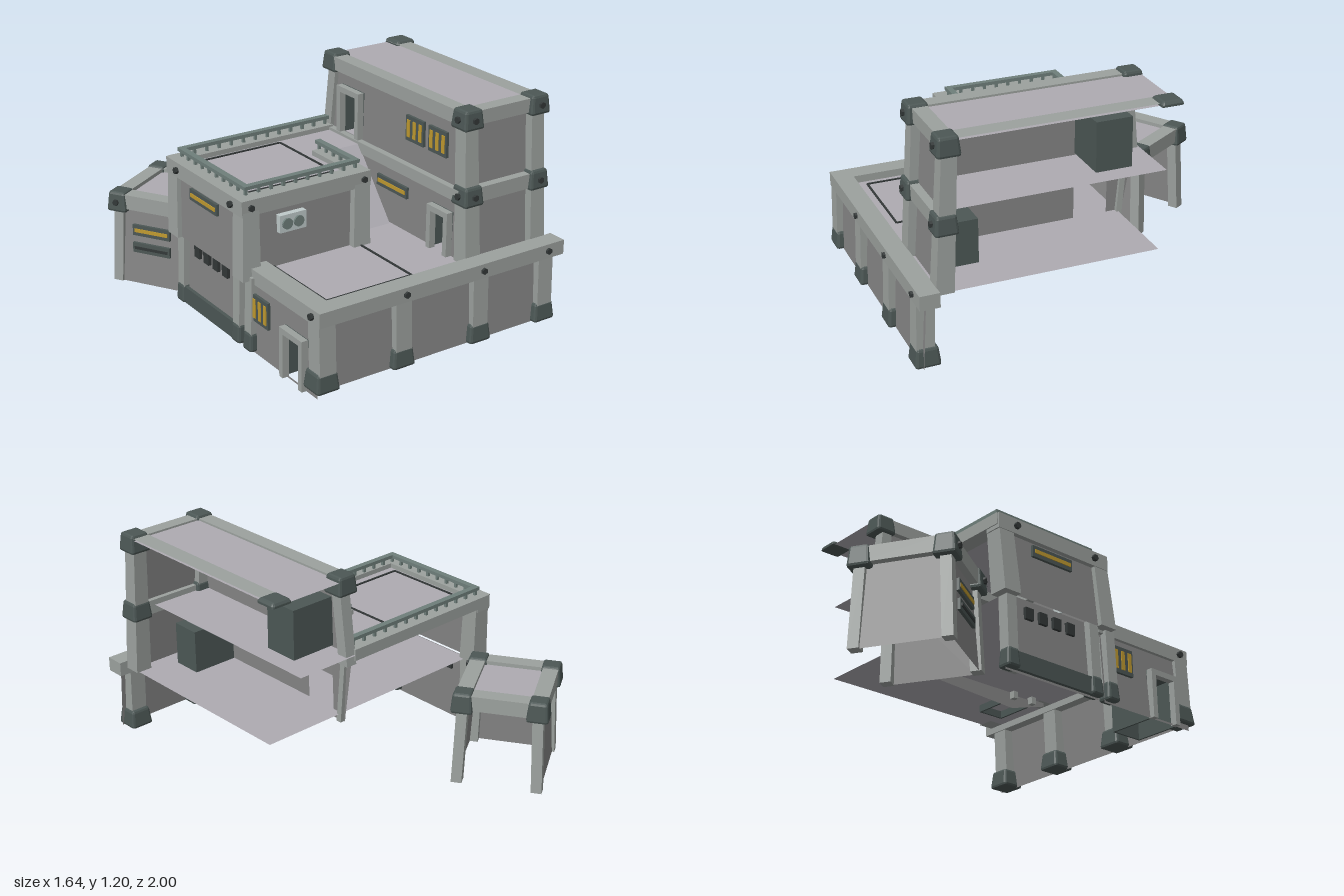
import * as THREE from 'three';
import { RoundedBoxGeometry } from 'three/addons/geometries/RoundedBoxGeometry.js';

const mat = (color) => new THREE.MeshStandardMaterial({ color, flatShading: true, side: THREE.DoubleSide });
const M = {
  wall: mat(0x858585), trim: mat(0x9ca19e), cap: mat(0x4c5755), roof: mat(0xaeabb2),
  dark: mat(0x333838), rail: mat(0x6f7f7b), lamp: mat(0xc09a30), vent: mat(0xbfcaca),
};

function add(parent, name, geo, material) {
  const mesh = new THREE.Mesh(geo, material);
  mesh.name = name;
  parent.add(mesh);
  return mesh;
}

// Box given by its limits on each axis
function box(parent, name, m, x0, x1, y0, y1, z0, z1) {
  const b = add(parent, name, new THREE.BoxGeometry(x1 - x0, y1 - y0, z1 - z0), m);
  b.position.set((x0 + x1) / 2, (y0 + y1) / 2, (z0 + z1) / 2);
  return b;
}

// Leaning square post from a low point to a high point
function post(parent, name, m, [x0, y0, z0], [x1, y1, z1], w0, w1 = w0) {
  const g = new THREE.BoxGeometry(1, 1, 1), p = g.attributes.position;
  for (let i = 0; i < p.count; i++) {
    const up = p.getY(i) > 0, w = up ? w1 : w0;
    p.setXYZ(i, p.getX(i) * w + (up ? x1 : x0), up ? y1 : y0, p.getZ(i) * w + (up ? z1 : z0));
  }
  g.computeVertexNormals();
  return add(parent, name, g, m);
}

// Chamfered corner block, narrower at the top, with bolts on front and left
function cap(parent, name, x, y, z, w = 0.12, h = 0.1, bolts = true) {
  const grp = new THREE.Group();
  grp.name = name;
  grp.position.set(x, y, z);
  const g = new RoundedBoxGeometry(w, h, w, 1, 0.014), p = g.attributes.position;
  for (let i = 0; i < p.count; i++) {
    const s = 1 - 0.18 * (p.getY(i) / h + 0.5);
    p.setX(i, p.getX(i) * s);
    p.setZ(i, p.getZ(i) * s);
  }
  add(grp, 'block', g, M.cap);
  if (bolts) {
    bolt(grp, 0, 0, w / 2 - 0.005, false);
    bolt(grp, -w / 2 + 0.005, 0, 0, true);
  }
  parent.add(grp);
}

function bolt(parent, x, y, z, sideways) {
  const b = add(parent, 'bolt', new THREE.CylinderGeometry(0.017, 0.017, 0.025, 6), M.dark);
  b.position.set(x, y, z);
  if (sideways) b.rotation.z = Math.PI / 2; else b.rotation.x = Math.PI / 2;
}

const rect = (a, b, c, d) => [[a, c], [b, c], [b, d], [a, d]];

// Flat sheet with openings; place(u, v) gives the point in space
function sheet(parent, name, m, pts, place, holes = []) {
  const toV = (l) => l.map(([a, b]) => new THREE.Vector2(a, b));
  const shape = new THREE.Shape(toV(pts));
  holes.forEach((h) => shape.holes.push(new THREE.Path(toV(h))));
  const g = new THREE.ShapeGeometry(shape), p = g.attributes.position;
  for (let i = 0; i < p.count; i++) p.setXYZ(i, ...place(p.getX(i), p.getY(i)));
  g.computeVertexNormals();
  return add(parent, name, g, m);
}
const level = (y) => (x, nz) => [x, y, -nz];

// Thin square outline laid on a roof
function outline(parent, name, x0, x1, y, z0, z1) {
  const t = 0.01;
  for (const z of [z0, z1]) box(parent, name, M.dark, x0, x1, y, y + 0.006, z - t / 2, z + t / 2);
  for (const x of [x0, x1]) box(parent, name, M.dark, x - t / 2, x + t / 2, y, y + 0.006, z0, z1);
}

// Framed window standing just outside a left-facing wall
function sideWindow(parent, x, y0, y1, z0, z1, bars, pane = M.lamp) {
  box(parent, 'windowFrame', M.cap, x - 0.02, x - 0.005, y0, y1, z0, z1);
  const s = (z1 - z0) / bars;
  for (let i = 0; i < bars; i++)
    box(parent, 'windowPane', pane, x - 0.024, x - 0.02, y0 + 0.02, y1 - 0.02, z0 + i * s + 0.012, z0 + (i + 1) * s - 0.012);
}

// Door recess set into a left wall, with an outside frame
function doorway(parent, x, y0, y1, z0, z1) {
  const d = 0.25;
  box(parent, 'doorRecessBack', M.cap, x + d - 0.01, x + d, y0, y1, z0, z1);
  box(parent, 'doorRecessTop', M.cap, x, x + d, y1 - 0.01, y1, z0, z1);
  for (const z of [z0, z1 - 0.01]) box(parent, 'doorRecessSide', M.cap, x, x + d, y0, y1, z, z + 0.01);
  for (const z of [z0, z1 - 0.03]) box(parent, 'doorFrame', M.trim, x - 0.035, x, y0, y1, z, z + 0.03);
  box(parent, 'doorLintel', M.trim, x - 0.035, x, y1 - 0.03, y1, z0, z1);
}

// Handrail with short uprights between two points at one height
function railing(parent, xa, za, xb, zb) {
  const n = Math.round(Math.hypot(xb - xa, zb - za) / 0.07), r = 0.016;
  box(parent, 'handrail', M.rail, Math.min(xa, xb) - r, Math.max(xa, xb) + r, 0.828, 0.846, Math.min(za, zb) - r, Math.max(za, zb) + r);
  for (let i = 0; i <= n; i++) {
    const x = xa + (xb - xa) * i / n, z = za + (zb - za) * i / n;
    box(parent, 'railUpright', M.rail, x - 0.007, x + 0.007, 0.795, 0.83, z - 0.007, z + 0.007);
  }
}

function lowerBlock(g) {
  sheet(g, 'lowerRoof', M.roof, rect(-0.62, 0.75, -0.96, 0.25), level(0.42));
  sheet(g, 'lowerFrontWall', M.wall, rect(-0.63, 0.77, 0.05, 0.42), (x, y) => [x, y, 0.96 - 0.06 * y]);
  const leanX = (z, y) => [-0.645 + 0.05 * y, y, z];
  sheet(g, 'lowerLeftFrontWall', M.wall, rect(0.36, 0.96, 0.02, 0.42), leanX, [rect(0.69, 0.86, 0.03, 0.27)]);
  sheet(g, 'lowerLeftBackWall', M.wall, rect(-0.28, 0.32, 0.02, 0.42), leanX);
  doorway(g, -0.635, 0.02, 0.28, 0.68, 0.87);
  sideWindow(g, -0.635, 0.2, 0.34, 0.42, 0.56, 3);
  for (const z of [0.15, 0.06, -0.03, -0.12]) box(g, 'wallHook', M.dark, -0.645, -0.615, 0.315, 0.375, z - 0.025, z + 0.025);
  box(g, 'frontTopBeam', M.trim, -0.64, 0.81, 0.385, 0.46, 0.88, 0.98);
  box(g, 'leftTopBeam', M.trim, -0.645, -0.54, 0.385, 0.46, 0.34, 0.98);
  box(g, 'leftSkirting', M.cap, -0.665, -0.646, 0.03, 0.12, -0.27, 0.3);
  for (const x of [-0.6, -0.17, 0.29, 0.7]) {
    post(g, 'frontPost', M.trim, [x, 0.1, 0.94], [x, 0.4, 0.93], 0.09);
    cap(g, 'frontFoot', x, 0.1, 0.93, 0.13, 0.1, false);
    if (x !== -0.6) bolt(g, x + 0.01, 0.425, 0.98, false);
  }
  for (const z of [0.4, 0.29, -0.25]) {
    post(g, 'leftPost', M.trim, [-0.64, 0.08, z], [-0.63, 0.42, z], 0.06);
    cap(g, 'leftFoot', -0.64, 0.08, z, 0.08, 0.1, false);
  }
  bolt(g, -0.65, 0.425, 0.92, true);
  outline(g, 'roofPanel', -0.5, -0.01, 0.42, 0.36, 0.82);
}

function middleBlock(g) {
  // Roof deck reaches behind the ramp to the tower
  sheet(g, 'middleRoof', M.roof, [[-0.63, -0.34], [0.03, -0.34], [0.03, 0], [0.28, 0], [0.28, 0.32], [-0.63, 0.32]], level(0.775));
  sheet(g, 'middleFrontWall', M.wall, rect(-0.65, 0.03, 0.4, 0.78), (x, y) => [x, y, 0.4 - 0.07 * y]);
  sheet(g, 'middleLeftWall', M.wall, rect(-0.31, 0.35, 0.4, 0.78), (z, y) => [-0.69 + 0.05 * y, y, z]);
  sheet(g, 'middleRightWall', M.wall, rect(0, 0.35, 0.42, 0.78), (z, y) => [0.04, y, z]);
  sheet(g, 'ramp', M.roof, rect(0.06, 0.26, 0, 1), (x, t) => [x, 0.43 + 0.345 * t, 0.28 - 0.28 * t]);
  box(g, 'frontBeam', M.trim, -0.67, 0.06, 0.72, 0.8, 0.3, 0.385);
  box(g, 'leftBeam', M.trim, -0.68, -0.59, 0.72, 0.8, -0.34, 0.385);
  box(g, 'rightBeam', M.trim, -0.03, 0.06, 0.72, 0.8, 0, 0.385);
  box(g, 'backBeam', M.trim, -0.67, 0.28, 0.74, 0.8, -0.345, -0.26);
  for (const [x, z] of [[-0.63, 0.34], [0.01, 0.34], [-0.63, -0.29]])
    post(g, 'middlePost', M.trim, [x - 0.015, 0.4, z + 0.02], [x, 0.74, z], 0.1, 0.09);
  for (const x of [-0.63, 0.02]) bolt(g, x, 0.76, 0.385, false);
  for (const z of [-0.23, 0.29]) bolt(g, -0.685, 0.76, z, true);
  railing(g, -0.615, -0.295, 0.25, -0.295);
  railing(g, -0.615, 0.315, 0.015, 0.315);
  railing(g, -0.615, -0.295, -0.615, 0.315);
  railing(g, 0.015, 0, 0.015, 0.315);
  outline(g, 'roofHatch', -0.57, -0.07, 0.775, -0.235, 0.25);
  sideWindow(g, -0.655, 0.64, 0.7, -0.12, 0.14, 1);
  // Twin round vent on the front wall
  box(g, 'ventPlate', M.vent, -0.47, -0.32, 0.59, 0.68, 0.35, 0.385);
  for (const x of [-0.43, -0.365]) {
    const v = add(g, 'ventFan', new THREE.CylinderGeometry(0.028, 0.028, 0.02, 16), M.rail);
    v.rotation.x = Math.PI / 2;
    v.position.set(x, 0.635, 0.385);
  }
}

function tower(g) {
  sheet(g, 'towerRoof', M.roof, rect(0.29, 0.76, -0.82, 0.33), level(1.17));
  sheet(g, 'towerFloor', M.roof, rect(0.28, 0.63, -0.82, 0.345), level(0.77));
  sheet(g, 'towerFrontWall', M.wall, rect(0.3, 0.74, 0.42, 1.16), (x, y) => [x, y, 0.88 - 0.08 * y]);
  sheet(g, 'towerLeftWall', M.wall,
    [[-0.27, 0.38], [0.6, 0.33], [0.84, 0.4], [0.8, 1.16], [-0.26, 1.16], [-0.33, 0.74]],
    (z, y) => [0.27 + 0.03 * y, y, z],
    [rect(0.6, 0.74, 0.41, 0.64), rect(-0.19, -0.01, 0.42, 0.72), rect(-0.19, -0.01, 0.79, 1.03)]);
  doorway(g, 0.285, 0.38, 0.65, 0.59, 0.75);
  doorway(g, 0.295, 0.78, 1.04, -0.2, -0.01);
  sideWindow(g, 0.3, 0.91, 1.04, 0.37, 0.51, 3);
  sideWindow(g, 0.3, 0.91, 1.04, 0.55, 0.69, 3);
  sideWindow(g, 0.29, 0.6, 0.66, 0.15, 0.4, 1);
  // The right side has no wall, so its roof edge is a thin strip
  sheet(g, 'roofRightStrip', M.trim, rect(0.67, 0.76, -0.82, 0.33), level(1.18));
  box(g, 'roofLeftBeam', M.trim, 0.27, 0.35, 1.11, 1.18, -0.29, 0.81);
  for (const x of [0.31, 0.72]) {
    post(g, 'towerFrontPost', M.trim, [x, 0.42, 0.84], [x, 1.12, 0.8], 0.09, 0.075);
    cap(g, 'towerFrontCap', x, 1.145, 0.805);
    cap(g, 'towerMiddleCap', x, 0.765, 0.825);
  }
  cap(g, 'towerBackLeftCap', 0.32, 1.145, -0.285, 0.12, 0.1, false);
  cap(g, 'towerBackRightCap', 0.73, 1.18, -0.285, 0.125, 0.03, false);
  post(g, 'towerBackPost', M.trim, [0.3, 0.72, -0.31], [0.31, 1.12, -0.27], 0.06);
  post(g, 'towerBackLowPost', M.trim, [0.29, 0.38, -0.25], [0.29, 0.73, -0.28], 0.03);
  box(g, 'towerFrontTopBeam', M.trim, 0.31, 0.72, 1.11, 1.18, 0.76, 0.835);
  box(g, 'towerFrontMiddleBeam', M.trim, 0.31, 0.72, 0.725, 0.8, 0.79, 0.86);
  box(g, 'towerLeftMiddleBeam', M.trim, 0.255, 0.289, 0.73, 0.79, -0.33, 0.82);
}

function shed(g) {
  g.position.set(-0.48, 0, -0.665);
  g.rotation.y = 0.555;
  const X = 0.205, Z = 0.19, out = (y) => 0.03 * (1 - y / 0.46);
  sheet(g, 'shedRoof', M.roof, rect(-X, X, -Z, Z), level(0.48));
  for (const s of [1, -1]) {
    sheet(g, 'shedWall', M.wall, rect(-X, X, 0, 0.46), (x, y) => [s * x, y, s * (Z + out(y))]);
    box(g, 'shedLongBeam', M.trim, -X, X, 0.42, 0.5, s * Z - 0.04, s * Z + 0.04);
    box(g, 'shedShortBeam', M.trim, s * X - 0.04, s * X + 0.04, 0.42, 0.5, -Z, Z);
    for (const t of [1, -1]) {
      post(g, 'shedPost', M.trim, [s * (X + 0.015), 0, t * (Z + 0.015)], [s * X, 0.43, t * Z], 0.055);
      cap(g, 'shedCap', s * X, 0.455, t * Z, 0.115, 0.11, s < 0);
    }
  }
  // Only the left end is closed; the right end stays open
  sheet(g, 'shedEndWall', M.wall, rect(-Z, Z, 0, 0.46), (z, y) => [-X - out(y), y, z]);
  sideWindow(g, -X - 0.01, 0.275, 0.335, -0.11, 0.11, 1);
  sideWindow(g, -X - 0.015, 0.18, 0.235, -0.11, 0.11, 1, M.dark);
}

export function createModel() {
  const model = new THREE.Group();
  model.name = 'outpost';
  for (const [name, build] of Object.entries({ lowerBlock, middleBlock, tower, shed })) {
    const g = new THREE.Group();
    g.name = name;
    build(g);
    model.add(g);
  }
  return model;
}
